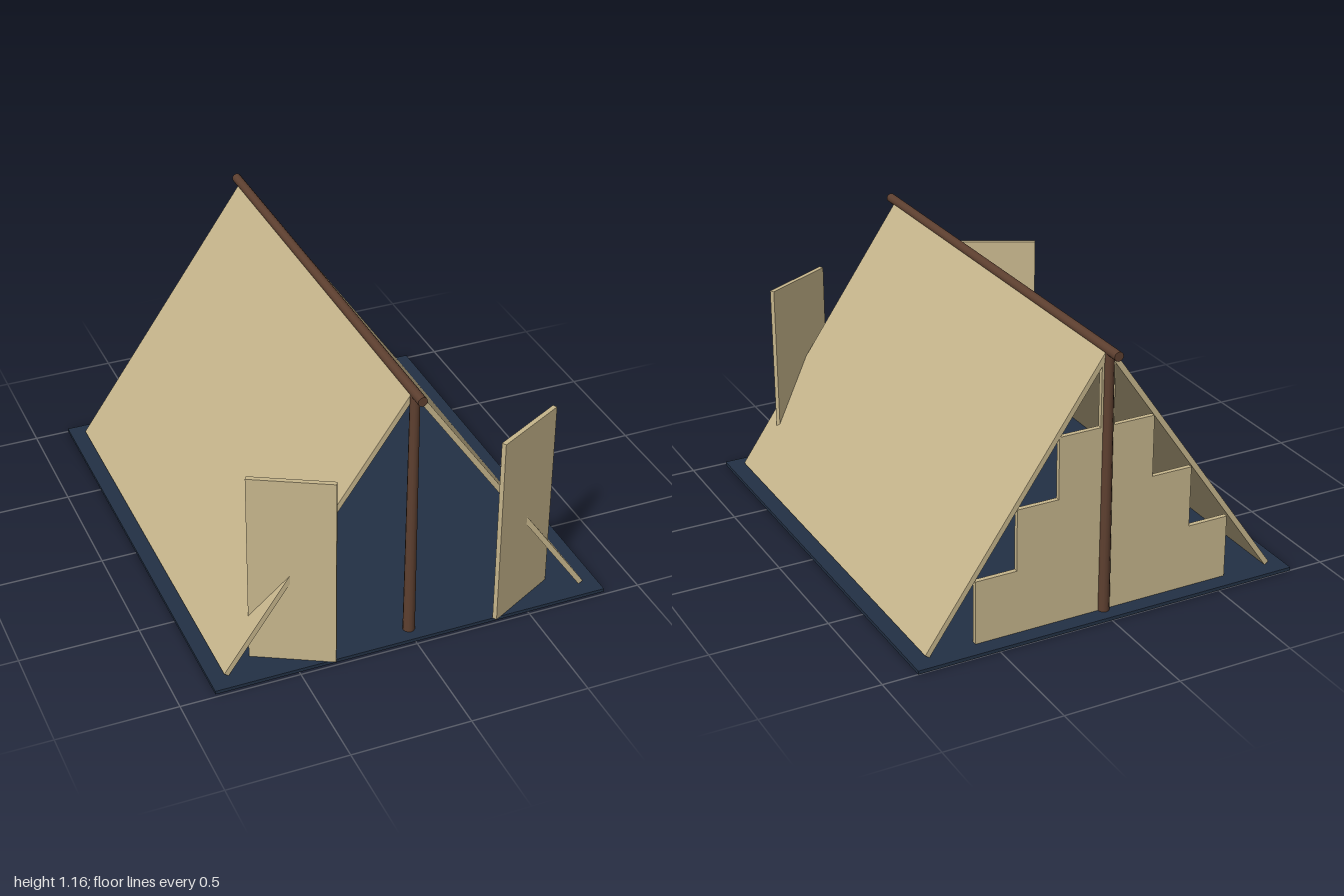
import * as THREE from 'three';

export function createModel() {
  const canvas = new THREE.MeshStandardMaterial({ color: 0xc8b78d });
  canvas.name = 'canvas';
  const wood = new THREE.MeshStandardMaterial({ color: 0x5e4030 });
  wood.name = 'wood';
  const sheet = new THREE.MeshStandardMaterial({ color: 0x233145 });
  sheet.name = 'groundsheet';

  const model = new THREE.Group();
  model.name = 'tent';
  const add = (name, geometry, material, x, y, z) => {
    const mesh = new THREE.Mesh(geometry, material);
    mesh.name = name;
    mesh.position.set(x, y, z);
    model.add(mesh);
    return mesh;
  };

  // Groundsheet
  add('groundsheet', new THREE.BoxGeometry(1.7, 0.015, 1.985), sheet, 0, 0.0075, -0.0075);

  // Ridge pole and two slightly tapered uprights
  const ridge = add('ridgePole', new THREE.CylinderGeometry(0.02, 0.02, 1.985, 12), wood, 0, 1.136, -0.0075);
  ridge.rotation.x = Math.PI / 2;
  for (const [name, z] of [['frontPole', 0.915], ['backPole', -0.93]]) {
    add(name, new THREE.CylinderGeometry(0.02, 0.025, 1.125, 12), wood, 0, 0.5675, z);
  }

  // Sloping roof panels, mirrored about the ridge
  const foot = new THREE.Vector2(0.778, 0.02);
  const peak = new THREE.Vector2(0.01, 1.124);
  const slope = peak.clone().sub(foot);
  for (const side of [1, -1]) {
    const roof = add(
      side > 0 ? 'leftRoof' : 'rightRoof',
      new THREE.BoxGeometry(0.022, slope.length(), 1.847), canvas,
      side * (foot.x + peak.x) / 2, (foot.y + peak.y) / 2, -0.0085
    );
    roof.rotation.z = -side * Math.atan2(slope.x, slope.y);
  }

  // Stepped back wall: half-width and top of each step, from the ground up
  const steps = [[0.57, 0.29], [0.39, 0.555], [0.21, 0.82], [0.03, 1.085]];
  const outline = [[-0.57, 0.015], [0.57, 0.015]];
  steps.forEach(([w, top], i) => {
    if (i > 0) outline.push([w, steps[i - 1][1]]);
    outline.push([w, top]);
  });
  [...steps].reverse().forEach(([w, top], i, list) => {
    outline.push([-w, top]);
    if (i < list.length - 1) outline.push([-w, list[i + 1][1]]);
  });
  const wallShape = new THREE.Shape(outline.map(([x, y]) => new THREE.Vector2(x, y)));
  add('backWall', new THREE.ExtrudeGeometry(wallShape, { depth: 0.02, bevelEnabled: false }), canvas, 0, 0, -0.93);

  // Door flaps swung open at the front
  for (const side of [1, -1]) {
    const flap = add(
      side > 0 ? 'leftDoorFlap' : 'rightDoorFlap',
      new THREE.BoxGeometry(0.346, 0.85, 0.02), canvas,
      side * 0.498, 0.44, 0.909
    );
    flap.rotation.y = side * 0.495;
  }

  return model;
}
